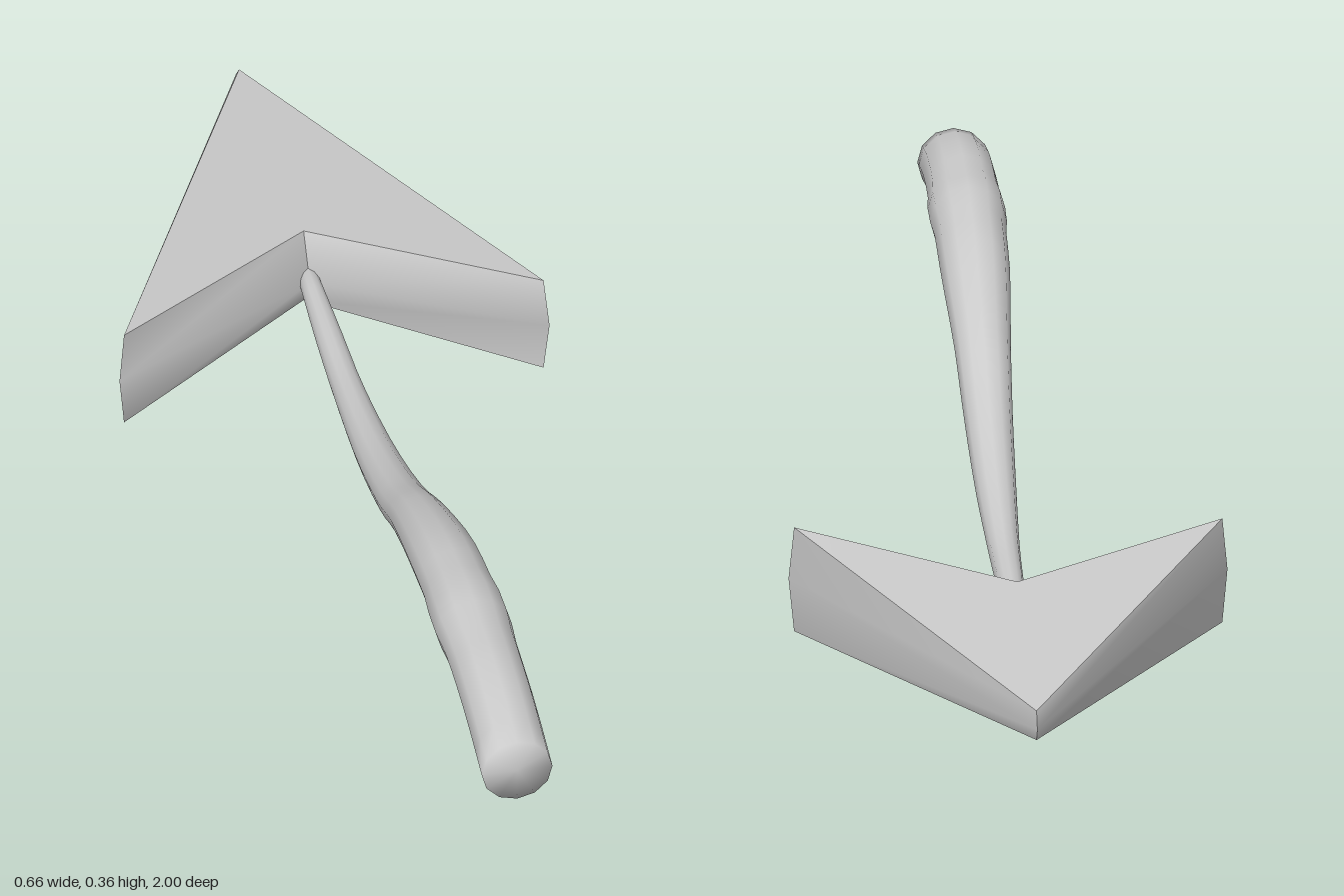
import * as THREE from 'three';

const material = new THREE.MeshStandardMaterial({ color: 0xcccccc });

function makeMesh(name, points, index) {
  const geometry = new THREE.BufferGeometry();
  geometry.setAttribute('position', new THREE.Float32BufferAttribute(points.flat(), 3));
  geometry.setIndex(index);
  geometry.computeVertexNormals();
  const mesh = new THREE.Mesh(geometry, material);
  mesh.name = name;
  return mesh;
}

// Barbed arrowhead: two sloping plates joined by walls that bulge at mid height
function createHead() {
  const head = new THREE.Group();
  head.name = 'arrowHead';
  const midY = 0.082;

  // Outline corners, counterclockwise from above: plate x, z, half height, then mid-height x, z
  const corners = [
    [0, -0.98, 0.023, 0, -1],
    [-0.32, -0.305, 0.082, -0.328, -0.3],
    [0, -0.52, 0.065, 0, -0.476],
    [0.32, -0.305, 0.082, 0.328, -0.3],
  ];
  const top = corners.map(([x, z, h]) => [x, midY + h, z]);
  const mid = corners.map(([, , , x, z]) => [x, midY, z]);
  const bottom = corners.map(([x, z, h]) => [x, midY - h, z]);

  head.add(makeMesh('topPlate', top, [0, 2, 3, 0, 1, 2]));
  head.add(makeMesh('bottomPlate', bottom, [0, 3, 2, 0, 2, 1]));

  // Each wall is smooth over its mid row and sharp at its ends
  const wallNames = ['rightEdge', 'rightNotchWall', 'leftNotchWall', 'leftEdge'];
  wallNames.forEach((name, a) => {
    const b = (a + 1) % 4;
    const points = [top[a], top[b], mid[a], mid[b], bottom[a], bottom[b]];
    head.add(makeMesh(name, points, [4, 5, 3, 4, 3, 2, 2, 3, 1, 2, 1, 0]));
  });
  return head;
}

// Curved shaft, thickening towards the front and closed by a soft-shaded cap
function createShaft() {
  const sides = 12;
  const rings = 28;

  // Centre line stations and the matching half width / half height
  const stations = [
    // z, y, half width, half height
    [1, 0.275, 0.054, 0.053],
    [0.88, 0.301, 0.054, 0.052],
    [0.76, 0.311, 0.054, 0.051],
    [0.62, 0.306, 0.054, 0.051],
    [0.48, 0.285, 0.052, 0.048],
    [0.3, 0.225, 0.042, 0.041],
    [0.18, 0.169, 0.037, 0.037],
    [0, 0.115, 0.031, 0.031],
    [-0.2, 0.086, 0.024, 0.025],
    [-0.34, 0.083, 0.021, 0.022],
    [-0.5, 0.084, 0.015, 0.016],
  ];
  const path = new THREE.CatmullRomCurve3(stations.map(([z, y]) => new THREE.Vector3(0, y, z)));
  const size = new THREE.CatmullRomCurve3(stations.map(([, , w, h]) => new THREE.Vector3(w, h, 0)));

  const points = [];
  const index = [];
  for (let i = 0; i <= rings; i++) {
    const centre = path.getPoint(i / rings);
    const radius = size.getPoint(i / rings);
    for (let j = 0; j < sides; j++) {
      const angle = (j / sides) * Math.PI * 2;
      points.push([radius.x * Math.cos(angle), centre.y + radius.y * Math.sin(angle), centre.z]);
      if (i === rings) continue;
      const a = i * sides + j;
      const b = i * sides + ((j + 1) % sides);
      index.push(a, a + sides, b, b, a + sides, b + sides);
    }
  }

  // End caps share the rim vertices so that the shading rolls over the edge
  const front = points.push([0, stations[0][1], 1]) - 1;
  const back = points.push([0, 0.084, -0.5]) - 1;
  for (let j = 0; j < sides; j++) {
    const k = (j + 1) % sides;
    index.push(front, j, k, back, rings * sides + k, rings * sides + j);
  }
  return makeMesh('shaft', points, index);
}

export function createModel() {
  const model = new THREE.Group();
  model.name = 'arrow';
  model.add(createHead(), createShaft());
  return model;
}
